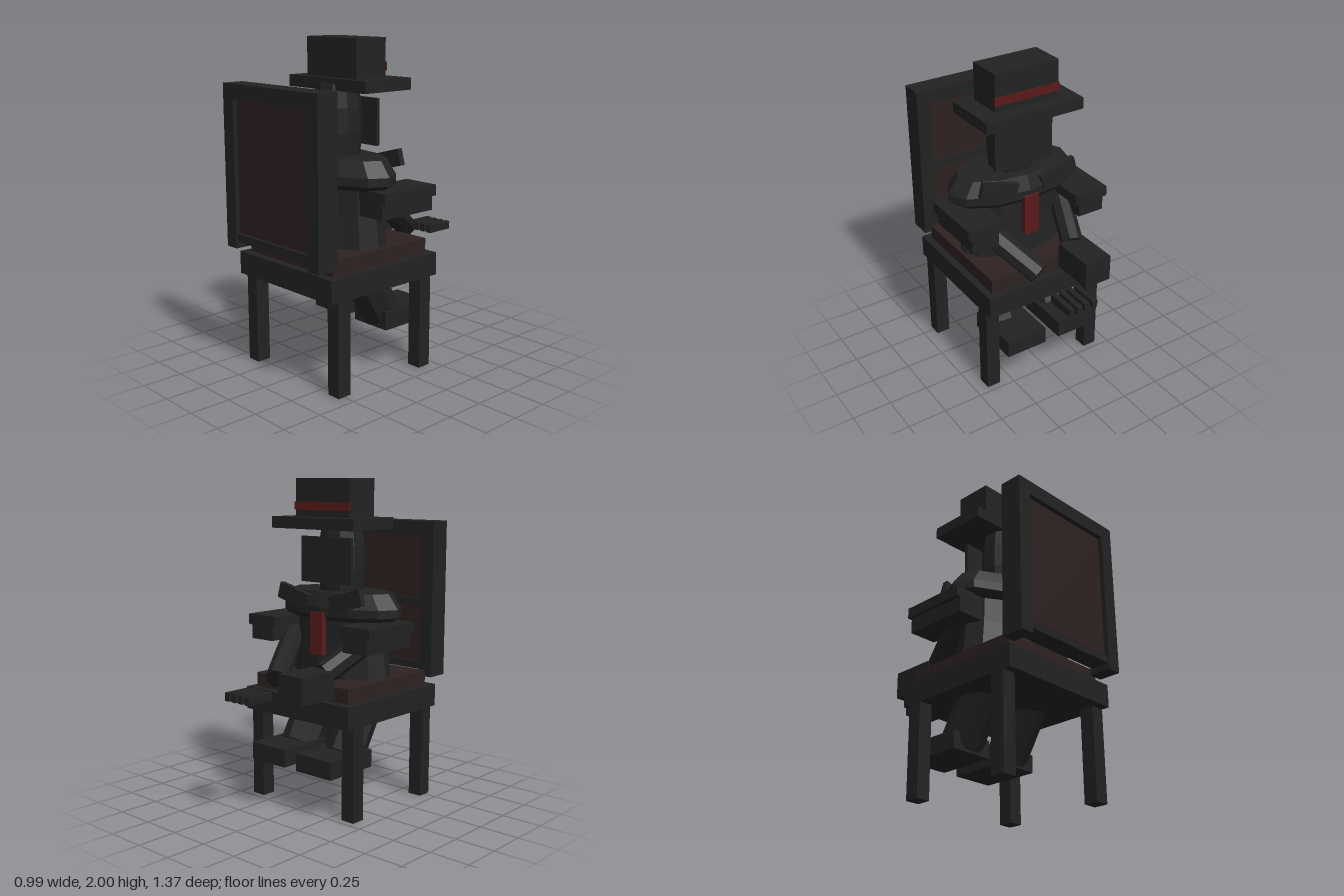
import * as THREE from 'three';

const mat = (name, color) => {
  const m = new THREE.MeshStandardMaterial({ color, flatShading: true });
  m.name = name;
  return m;
};

export function createModel() {
  const model = new THREE.Group();
  model.name = 'seatedFigure';
  const black = mat('black', 0x222222);
  const leather = mat('dark red leather', 0x2e2121);
  const red = mat('red cloth', 0x5a1a1a);

  const add = (name, geometry, material) => {
    const mesh = new THREE.Mesh(geometry, material);
    mesh.name = name;
    model.add(mesh);
    return mesh;
  };
  // Box given by its limits on each axis
  const box = (name, material, x0, x1, y0, y1, z0, z1) => {
    const mesh = add(name, new THREE.BoxGeometry(x1 - x0, y1 - y0, z1 - z0), material);
    mesh.position.set((x0 + x1) / 2, (y0 + y1) / 2, (z0 + z1) / 2);
    return mesh;
  };
  // Same box on the left (+x) and right (-x)
  const pair = (name, material, x0, x1, ...rest) => {
    box(name + 'Left', material, x0, x1, ...rest);
    box(name + 'Right', material, -x1, -x0, ...rest);
  };
  // Straight limb between two points
  const limb = (name, from, to, radius, sides) => {
    const a = new THREE.Vector3(...from), b = new THREE.Vector3(...to);
    const mesh = add(name, new THREE.CylinderGeometry(radius, radius, a.distanceTo(b), sides), black);
    mesh.position.copy(a).add(b).multiplyScalar(0.5);
    mesh.quaternion.setFromUnitVectors(new THREE.Vector3(0, 1, 0), b.sub(a).normalize());
    return mesh;
  };
  // Faceted oval body from [radius, y] pairs, bottom to top
  const oval = (name, points, sides, depth) => {
    const mesh = add(name, new THREE.LatheGeometry(points.map(p => new THREE.Vector2(...p)), sides), black);
    mesh.scale.z = depth;
    mesh.position.z = 0.165;
    return mesh;
  };

  // Chair seat and legs
  box('seatFrame', black, -0.42, 0.42, 0.57, 0.71, -0.26, 0.59);
  box('seatCushion', leather, -0.375, 0.375, 0.71, 0.8, -0.21, 0.54);
  pair('chairFrontLeg', black, 0.33, 0.42, 0, 0.57, -0.21, -0.12);
  pair('chairBackLeg', black, 0.33, 0.42, 0, 0.57, 0.45, 0.54);

  // Chair back
  pair('backPost', black, 0.33, 0.42, 0.76, 1.74, 0.54, 0.68);
  box('backTopRail', black, -0.33, 0.33, 1.65, 1.74, 0.54, 0.68);
  box('backBottomRail', black, -0.33, 0.33, 0.8, 0.85, 0.55, 0.67);
  box('backPanel', leather, -0.33, 0.33, 0.85, 1.65, 0.57, 0.65);
  box('backCrossBar', black, -0.33, 0.33, 1.2, 1.25, 0.55, 0.57);

  // Armrests
  pair('armrestPad', black, 0.26, 0.495, 1.09, 1.155, -0.165, 0.255);
  pair('armrestBase', black, 0.29, 0.47, 1.0, 1.09, -0.16, 0.255);

  // Coat, shoulders and head
  oval('coat', [[0, 0.78], [0.36, 0.78], [0.33, 1.0], [0.32, 1.17], [0, 1.17]], 12, 0.61);
  oval('shoulders', [[0, 1.15], [0.4, 1.15], [0.44, 1.18], [0.44, 1.23], [0.37, 1.32], [0, 1.32]], 12, 0.51);
  oval('head', [[0, 1.3], [0.135, 1.3], [0.148, 1.45], [0.145, 1.6], [0.125, 1.74], [0, 1.74]], 10, 1);
  box('facePlate', black, -0.2, 0.2, 1.37, 1.65, 0.012, 0.035);

  // Lapels and tie
  for (const s of [1, -1]) {
    const lapel = box(s > 0 ? 'lapelLeft' : 'lapelRight', black, -0.125, 0.125, -0.05, 0.05, -0.018, 0.018);
    lapel.position.set(s * 0.21, 1.28, -0.038);
    lapel.rotation.z = s * 0.27;
  }
  box('tie', red, -0.05, 0.05, 0.94, 1.2, -0.075, -0.04);

  // Hat
  box('hatBrim', black, -0.33, 0.33, 1.7, 1.77, -0.115, 0.255);
  box('hatCrown', black, -0.215, 0.215, 1.77, 2, -0.02, 0.21);
  box('hatBand', red, -0.22, 0.22, 1.81, 1.86, -0.028, -0.02);

  // Arms, hand and the four separate fingers
  limb('armLeft', [0.32, 1.06, 0.09], [0.105, 0.81, -0.31], 0.07, 8);
  limb('armRight', [-0.31, 1.06, 0.09], [-0.2, 0.87, -0.22], 0.07, 8);
  box('handRight', black, -0.28, -0.1, 0.735, 0.9, -0.5, -0.22);
  for (let i = 0; i < 4; i++) {
    const x = -0.047 + i * 0.054;
    box('finger' + (i + 1), black, x, x + 0.034, 0.735, 0.785, -0.685, -0.5);
  }

  // Legs and shoes
  for (const s of [1, -1]) {
    limb(s > 0 ? 'legLeft' : 'legRight', [s * 0.185, 0.7, 0.2], [s * 0.185, 0.335, -0.02], 0.125, 8);
  }
  pair('shoe', black, 0.05, 0.325, 0.265, 0.375, -0.305, 0.07);

  return model;
}
